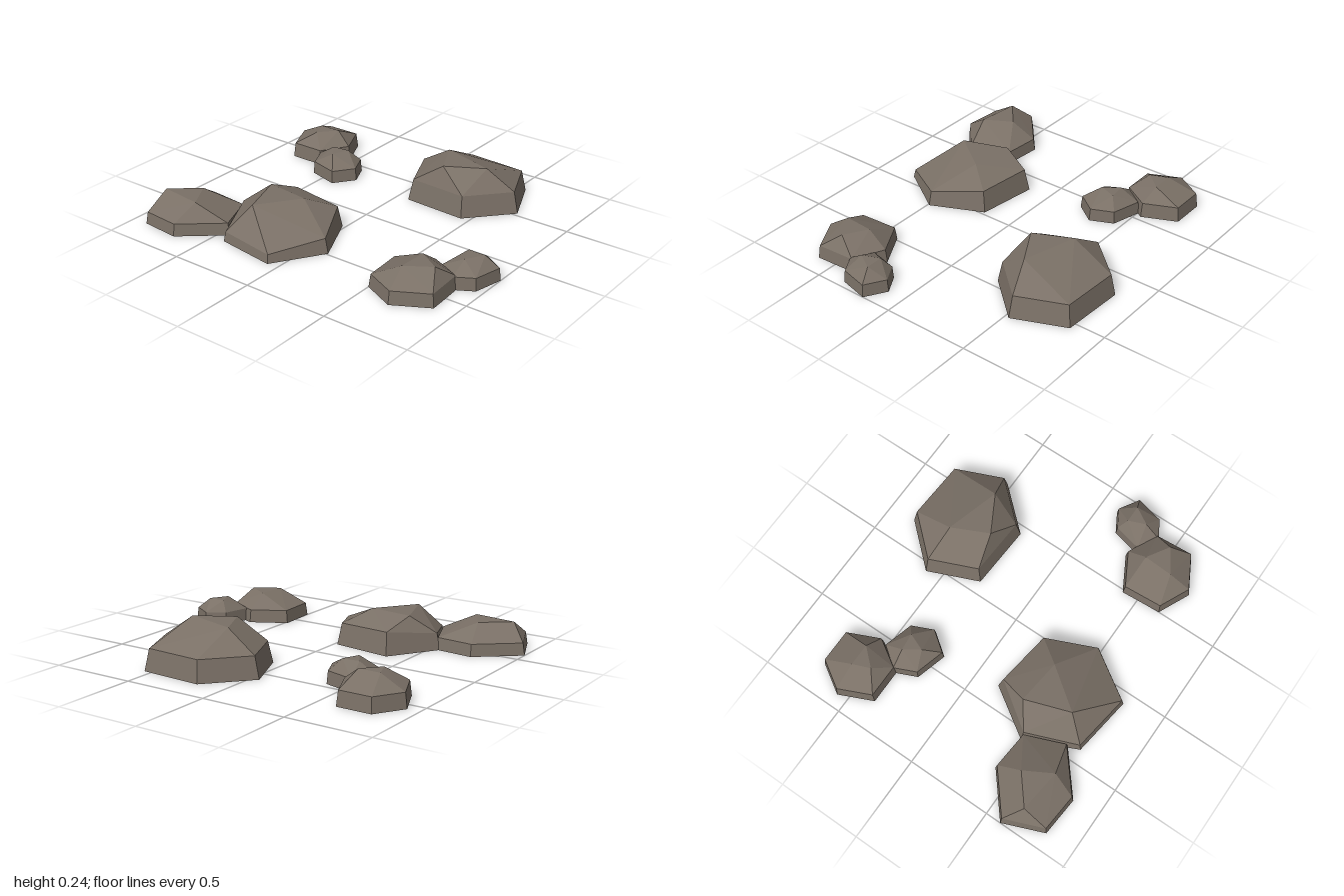
import * as THREE from 'three';
import { ConvexGeometry } from 'three/addons/geometries/ConvexGeometry.js';

// Convex boulder. Three base corners are mirrored through the centre to give a six-sided footprint;
// every corner rises steeply to a shoulder, and a flat triangular crown closes the top.
// corners and crown are [x, z] offsets from the rock's centre; lean lowers the shoulder towards +z.
function rock(name, [x, z], height, shoulder, corners, crown, lean = 0) {
  const points = crown.map(([dx, dz]) => new THREE.Vector3(dx, height, dz));
  for (const [dx, dz] of corners) {
    for (const side of [1, -1]) {
      const rise = shoulder - lean * side * dz;
      const inset = side * (1 - rise * 0.65);
      points.push(new THREE.Vector3(side * dx, 0, side * dz));
      points.push(new THREE.Vector3(inset * dx, rise, inset * dz));
    }
  }
  const mesh = new THREE.Mesh(new ConvexGeometry(points), stone);
  mesh.name = name;
  mesh.position.set(x, 0, z);
  return mesh;
}

const stone = new THREE.MeshStandardMaterial({ color: 0x7a7066, flatShading: true });
stone.name = 'stone';

export function createModel() {
  const group = new THREE.Group();
  group.name = 'rocks';
  group.add(
    // Lone large rock at the back
    rock('largeBackRock', [0.31, -0.56], 0.243, 0.125,
      [[-0.36, -0.035], [-0.14, -0.28], [0.235, -0.26]],
      [[-0.14, -0.01], [-0.04, 0.2], [0.175, 0.08]]),

    // Front pair
    rock('largeFrontRock', [-0.22, 0.455], 0.197, 0.09,
      [[-0.155, -0.315], [0.2, -0.265], [0.338, 0.035]],
      [[-0.19, -0.125], [0.07, -0.095], [-0.1, 0.135]], 0.13),
    rock('mediumFrontRock', [-0.72, 0.62], 0.16, 0.07,
      [[-0.28, -0.03], [-0.045, -0.225], [0.185, -0.205]],
      [[-0.17, 0.05], [-0.01, -0.08], [0.08, 0.08]]),

    // Back pair
    rock('mediumBackRock', [-0.73, -0.55], 0.157, 0.085,
      [[-0.198, -0.015], [-0.095, -0.18], [0.11, -0.18]],
      [[-0.04, -0.01], [0, 0.09], [0.09, -0.01]]),
    rock('smallBackRock', [-0.485, -0.355], 0.135, 0.072,
      [[-0.075, -0.15], [0.105, -0.1], [0.163, 0.03]],
      [[-0.055, -0.035], [0.045, -0.045], [0.005, 0.055]]),

    // Side pair
    rock('mediumSideRock', [0.685, 0.51], 0.157, 0.075,
      [[-0.2, -0.105], [0, -0.215], [0.185, -0.13]],
      [[-0.005, -0.09], [0.125, -0.01], [-0.015, 0.08]]),
    rock('smallSideRock', [0.865, 0.26], 0.135, 0.072,
      [[0.015, -0.153], [0.135, -0.08], [0.095, 0.09]],
      [[-0.045, -0.05], [0.055, -0.05], [-0.005, 0.05]]),
  );
  return group;
}
